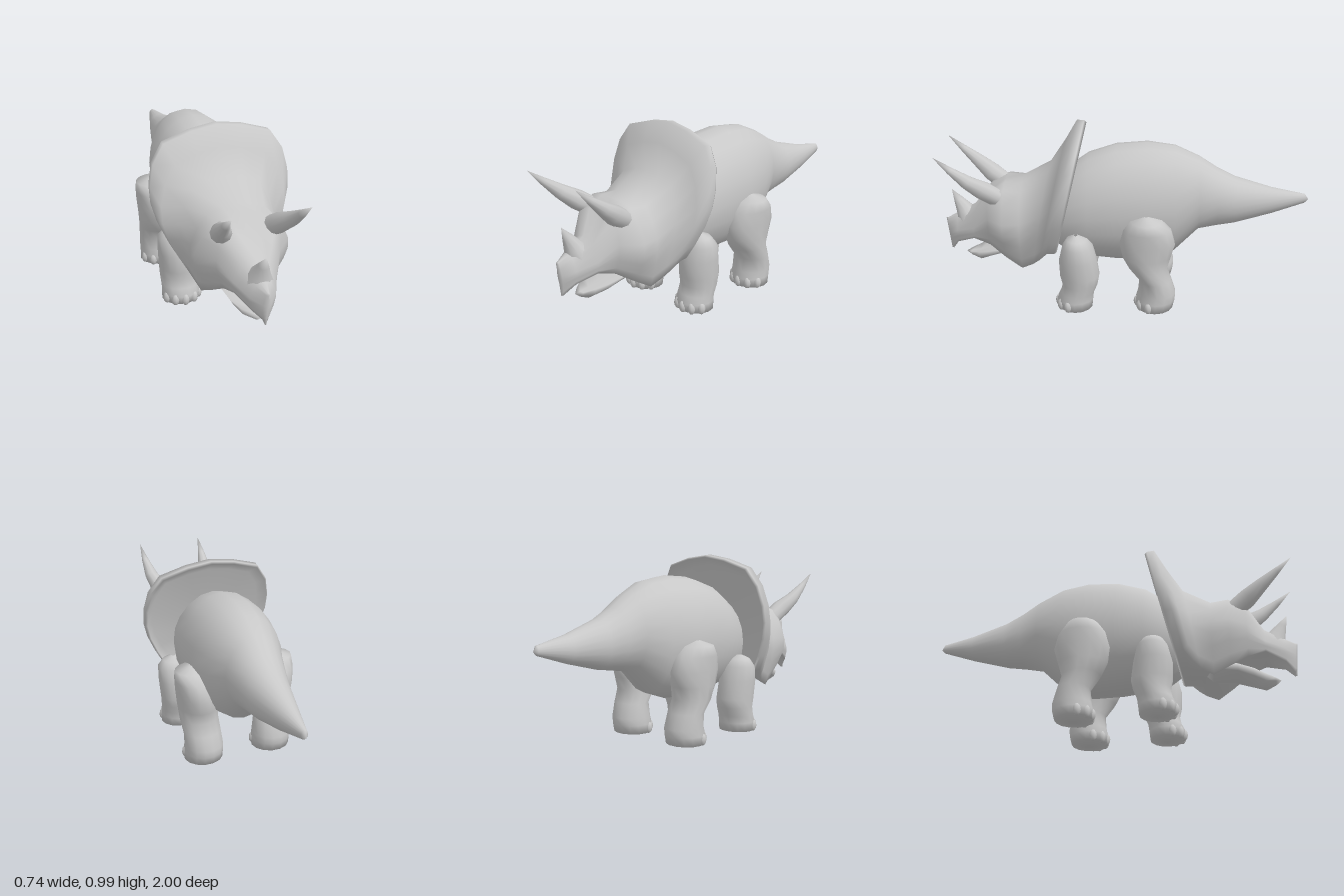
import * as THREE from 'three';
import { mergeVertices } from 'three/addons/utils/BufferGeometryUtils.js';

const skin = new THREE.MeshStandardMaterial({ color: 0xc8c8c8 });
skin.name = 'grey skin';

// Skin a list of closed rings (each a list of [x, y, z]) with smooth normals.
function loft(name, rings) {
  const n = rings[0].length, index = [];
  for (let i = 0; i < rings.length - 1; i++) {
    for (let j = 0; j < n; j++) {
      const k = (j + 1) % n;
      const a = i * n + j, b = i * n + k, c = (i + 1) * n + k, d = (i + 1) * n + j;
      index.push(a, c, b, a, d, c);
    }
  }
  let geo = new THREE.BufferGeometry();
  geo.setAttribute('position', new THREE.Float32BufferAttribute(rings.flat(2), 3));
  geo.setIndex(index);
  geo = mergeVertices(geo, 1e-4);
  geo.computeVertexNormals();
  const mesh = new THREE.Mesh(geo, skin);
  mesh.name = name;
  return mesh;
}

// Complete a half outline (top centre to bottom centre) with its mirror image.
const mirrorRing = half => [
  ...half,
  ...half.slice(1, -1).reverse().map(([x, y, z]) => [-x, y, z]),
];

const around = (n, f) => Array.from({ length: n }, (_, j) => f(j / n * Math.PI * 2));

// Body and tail: z, bottom, top, half width
function makeBody() {
  const stations = [
    [-1, .57, .57, 0], [-.98, .55, .6, .018], [-.8, .49, .635, .066], [-.6, .435, .695, .112],
    [-.5, .42, .745, .135], [-.4, .4, .81, .16], [-.27, .27, .87, .215], [-.12, .218, .89, .247],
    [.05, .22, .875, .25], [.2, .235, .825, .235], [.32, .265, .74, .2], [.42, .33, .62, .12],
    [.44, .47, .47, 0],
  ];
  return loft('bodyAndTail', stations.map(([z, lo, hi, w]) =>
    around(20, t => [w * Math.sin(t), (lo + hi) / 2 + (hi - lo) / 2 * Math.cos(t), z])));
}

// Half outline of the head: a curve from crown over brow and side to the cheek, then under the chin.
// The ring leans forward below the crown by the slant.
function headOutline([z, slant, top, browX, browY, sideX, sideY, cheekX, cheekY, chin]) {
  const jowlX = THREE.MathUtils.lerp(sideX, cheekX, .22), jowlY = (sideY + cheekY) / 2;
  const curve = new THREE.SplineCurve([[0, top], [browX, browY], [sideX, sideY], [jowlX, jowlY], [cheekX, cheekY]]
    .map(([x, y]) => new THREE.Vector2(x, y)));
  const points = curve.getPoints(8).map(p => [p.x, p.y]);
  return [...points, [cheekX / 2, chin], [0, chin]].map(([x, y]) => [x, y, z + slant * (top - y)]);
}

// Head: from the frill rim to the hooked beak
function makeHead() {
  const outlines = [
    [.265, .23, .99, .285, .925, .37, .72, .25, .34, .29],
    [.325, .22, .89, .24, .83, .33, .63, .22, .29, .285],
    [.41, .17, .765, .18, .72, .25, .55, .2, .255, .285],
    [.56, 0, .685, .15, .65, .235, .5, .18, .22, .29],
    [.65, 0, .68, .15, .66, .245, .5, .16, .275, .33],
    [.74, 0, .61, .13, .63, .165, .5, .125, .335, .37],
    [.83, 0, .53, .07, .5, .11, .42, .105, .362, .39],
    [.93, 0, .475, .04, .45, .066, .39, .055, .318, .325],
    [.99, -.1, .44, .01, .43, .02, .37, .008, .275, .255],
  ].map(headOutline);
  const rim = outlines[0], beak = outlines[outlines.length - 1];
  // Hollow back of the frill, shrunk from the rim
  const back = (s, dz) => rim.map(([x, y, z]) => [x * s, .55 + (y - .55) * s, z + dz]);
  return loft('headAndFrill', [
    rim.map(() => [0, .55, .36]),
    back(.86, .005),
    back(.97, -.052),
    back(.995, -.04),
    ...outlines,
    beak.map(([, y, z]) => [0, y, z + .01]),
  ].map(mirrorRing));
}

// Lower jaw: z, half width, rim height, keel height
function makeJaw() {
  const stations = [
    [.5, 0, .3, .3], [.55, .13, .33, .25], [.68, .12, .3, .24], [.76, .1, .277, .205],
    [.82, .065, .256, .185], [.87, .03, .243, .21], [.9, 0, .235, .235],
  ];
  return loft('lowerJaw', stations.map(([z, w, edge, keel]) => mirrorRing(
    [[0, edge - w * .15, z], [w, edge, z], [w * .8, (edge + keel) / 2, z], [0, keel, z]])));
}

// Horn: stations of x, y, z, radius, with rings tilted back by an angle
function makeHorn(name, stations, tilt, side = 1) {
  const c = Math.cos(tilt), s = Math.sin(tilt);
  return loft(name, stations.map(([x, y, z, r]) => around(10, t => [
    side * x + r * Math.sin(t), y + r * Math.cos(t) * c, z - r * Math.cos(t) * s])));
}

// Leg: stations of y, back z, front z; it leans outwards going up and ends in blunt toes
function makeLeg(name, stations, halfWidth, side) {
  const leg = new THREE.Group();
  leg.name = name;
  leg.add(loft(name + 'Limb', stations.map(([y, z0, z1]) => {
    const w = Math.min(halfWidth, (z1 - z0) * .6);
    const x = side * (.2 + .07 * Math.max(0, y - .1));
    return around(14, t => [x + w * Math.cos(t), y, (z0 + z1) / 2 + (z1 - z0) / 2 * Math.sin(t)]);
  })));
  const [, z0, z1] = stations[2];
  for (let i = -2; i <= 2; i++) {
    const a = i * .58;
    const toe = new THREE.Mesh(new THREE.SphereGeometry(1, 8, 6), skin);
    toe.name = 'toe';
    toe.scale.set(.022, .034, .022);
    toe.position.set(side * .2 + Math.sin(a) * (halfWidth - .01), .038,
      (z0 + z1) / 2 + Math.cos(a) * ((z1 - z0) / 2 - .012));
    leg.add(toe);
  }
  return leg;
}

export function createModel() {
  const model = new THREE.Group();
  model.name = 'hornedDinosaur';
  model.add(makeBody(), makeHead(), makeJaw());

  const noseHorn = [[0, .42, .86, .085], [0, .49, .893, .05], [0, .55, .925, .026], [0, .61, .957, 0]];
  model.add(makeHorn('noseHorn', noseHorn, 1.1));

  const browHorn = [[.125, .6, .67, .05], [.145, .66, .755, .052], [.172, .715, .83, .038],
    [.184, .785, .915, .02], [.19, .86, 1, 0]];
  const frontLeg = [[0, .265, .265], [.012, .175, .36], [.06, .17, .37], [.1, .165, .35],
    [.15, .145, .34], [.2, .135, .352], [.3, .15, .355], [.38, .17, .335], [.42, .2, .31], [.44, .25, .27]];
  const hindLeg = [[0, -.17, -.17], [.012, -.265, -.065], [.06, -.277, -.06], [.1, -.28, -.072],
    [.18, -.255, -.08], [.25, -.23, -.025], [.32, -.25, .012], [.4, -.272, .03], [.48, -.25, .01],
    [.535, -.2, -.03], [.56, -.13, -.1]];
  for (const [label, side] of [['left', 1], ['right', -1]]) {
    model.add(
      makeHorn(label + 'BrowHorn', browHorn, .75, side),
      makeLeg(label + 'FrontLeg', frontLeg, .104, side),
      makeLeg(label + 'HindLeg', hindLeg, .108, side));
  }
  return model;
}
